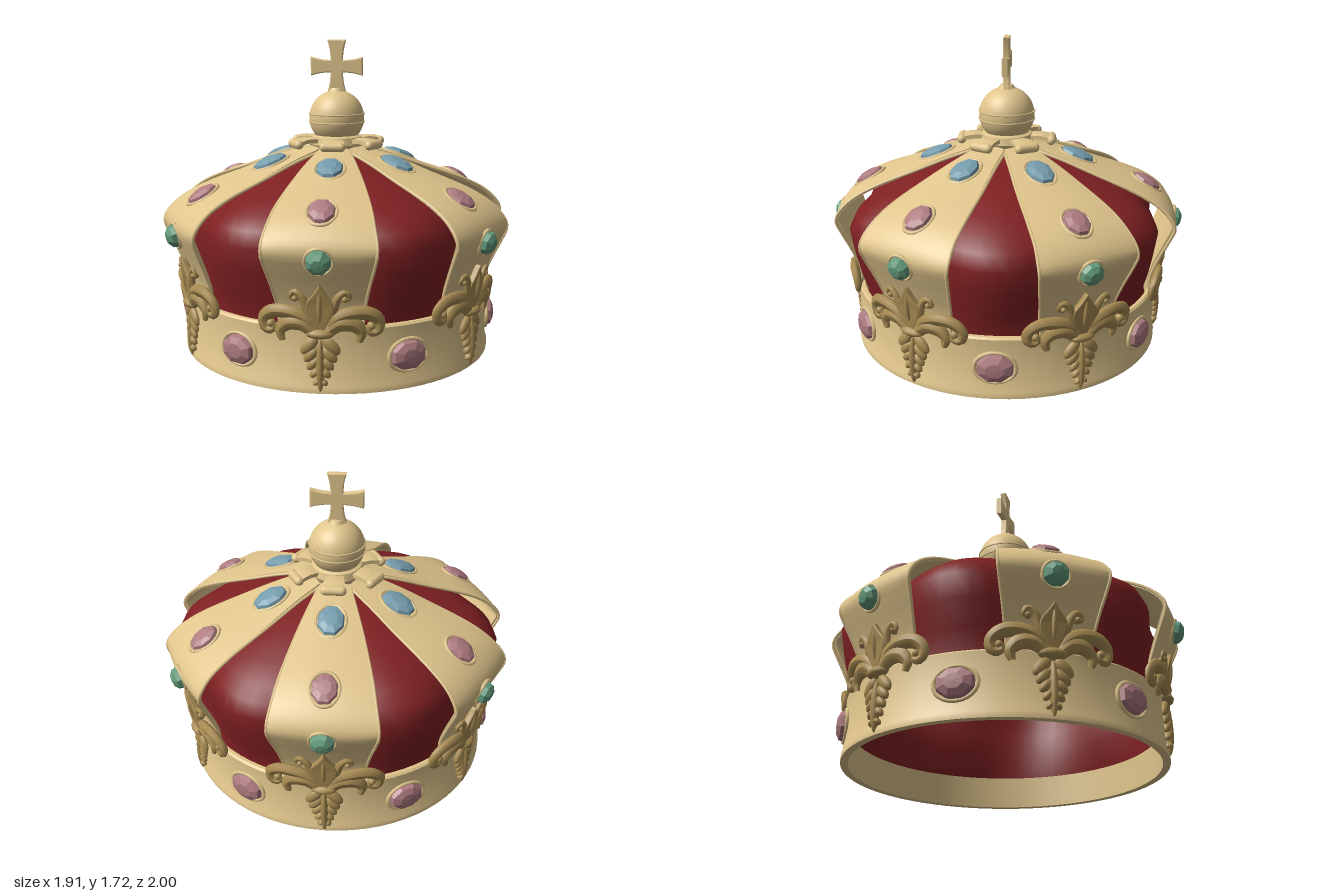
import * as THREE from 'three';
import { toCreasedNormals } from 'three/addons/utils/BufferGeometryUtils.js';

const V2 = (x, y) => new THREE.Vector2(x, y);
const V3 = (x, y, z) => new THREE.Vector3(x, y, z);

function material(name, color, double) {
  const m = new THREE.MeshStandardMaterial({ color });
  m.name = name;
  if (double) m.side = THREE.DoubleSide;
  return m;
}

function add(parent, name, geometry, mat, x = 0, y = 0, z = 0) {
  const mesh = new THREE.Mesh(geometry, mat);
  mesh.name = name;
  mesh.position.set(x, y, z);
  parent.add(mesh);
  return mesh;
}

// Move every vertex by a rule, then refresh the normals
function warp(geometry, rule) {
  const p = geometry.attributes.position, v = V3(0, 0, 0);
  for (let i = 0; i < p.count; i++) {
    rule(v.fromBufferAttribute(p, i), i);
    p.setXYZ(i, v.x, v.y, v.z);
  }
  geometry.computeVertexNormals();
  return geometry;
}

const lathe = (pts, seg) =>
  toCreasedNormals(new THREE.LatheGeometry(pts.map(p => V2(...p)), seg), 0.6);

// Flattened tube in the xy plane, thin at the far end
function taperTube(pts, radius) {
  const curve = new THREE.CatmullRomCurve3(pts.map(p => V3(p[0], p[1], 0.01)));
  const seg = 28, sides = 8;
  return warp(new THREE.TubeGeometry(curve, seg, 1, sides), (v, i) => {
    const t = Math.floor(i / (sides + 1)) / seg, c = curve.getPointAt(t);
    v.sub(c).multiplyScalar(radius * (0.35 + 0.65 * Math.sin(Math.PI * (0.15 + 0.83 * t))));
    v.z *= 0.7;
    v.add(c);
  });
}

// Lay a flat ornament around the band, leaning out above it
function wrapOnBand(geometry) {
  return warp(geometry, v => {
    const r = 0.863 + v.z + 0.15 * Math.max(0, v.y - 0.36), a = v.x / 0.865;
    v.set(Math.sin(a) * r, v.y, Math.cos(a) * r);
  });
}

function ellipsoid(x, y, rx, ry, rz, turn = 0) {
  return new THREE.SphereGeometry(1, 12, 8).scale(rx, ry, rz).rotateZ(turn).translate(x, y, 0.006);
}

export function createModel() {
  const gold = material('gold', 0xe0c58c);
  const oldGold = material('darkGold', 0xaa8d54);
  const velvet = material('redVelvet', 0x7f2022, true);
  const pink = material('pinkGem', 0xad7b80);
  const blue = material('blueGem', 0x759cad);
  const green = material('greenGem', 0x649b7c);

  const crown = new THREE.Group();
  crown.name = 'crown';

  // Band with a small foot
  add(crown, 'band', lathe([[0.83, 0], [0.87, 0], [0.87, 0.03], [0.86, 0.045], [0.86, 0.33],
    [0.85, 0.34], [0.83, 0.34], [0.83, 0]], 72), gold);

  // Velvet cap, puffed out between the arches
  const capPts = [[0.825, 0.18], [0.825, 0.34], [0.865, 0.46], [0.9, 0.6], [0.92, 0.72], [0.88, 0.8],
    [0.8, 0.86], [0.69, 0.915], [0.5, 0.98], [0.28, 1.025], [0, 1.035]].map(p => V2(...p));
  const cap = warp(new THREE.LatheGeometry(capPts, 72), v => {
    const amount = 0.05 * THREE.MathUtils.smoothstep(v.y, 0.18, 0.34)
      + 0.06 * THREE.MathUtils.smoothstep(v.y, 0.34, 0.6);
    const k = 1 - amount * (1 + Math.cos(6 * Math.atan2(v.x, v.z))) / 2;
    v.x *= k;
    v.z *= k;
  });
  add(crown, 'velvetCap', cap, velvet);

  // Arch plate: each point is half width, height, radius
  const rail = new THREE.CatmullRomCurve3([
    [0.205, 0.33, 0.83], [0.215, 0.43, 0.835], [0.24, 0.56, 0.88], [0.265, 0.66, 0.922], [0.28, 0.735, 0.947],
    [0.278, 0.785, 0.927], [0.262, 0.85, 0.865], [0.24, 0.915, 0.755], [0.18, 1.01, 0.5],
    [0.13, 1.073, 0.32], [0.08, 1.122, 0.14],
  ].map(p => V3(...p)));
  const archGeo = warp(new THREE.BoxGeometry(2, 1, 0.018, 8, 44, 1), v => {
    const t = v.y + 0.5, p = rail.getPointAt(t), d = rail.getTangentAt(t);
    const n = Math.hypot(d.y, d.z), sag = 0.02 * v.x * v.x * p.x / 0.28;
    const lift = v.z - sag;
    v.set(v.x * p.x, p.y - lift * d.z / n, p.z + lift * d.y / n);
  });
  const edgeGeo = [-1, 1].map(s => {
    const pts = [];
    for (let i = 0; i <= 36; i++) {
      const p = rail.getPointAt(i / 36);
      pts.push(V3(s * p.x, p.y - 0.009, p.z - 0.014));
    }
    return new THREE.TubeGeometry(new THREE.CatmullRomCurve3(pts), 56, 0.009, 6);
  });

  // Coarsely faceted stone with a flat table, in a thin setting, facing +z
  const stoneGeo = new THREE.LatheGeometry(
    [V2(1, 0), V2(0.9, 0.6), V2(0.5, 0.95), V2(0, 1)], 8).rotateX(Math.PI / 2).rotateZ(Math.PI / 8).toNonIndexed();
  const settingGeo = new THREE.TorusGeometry(1.06, 0.12, 6, 24);
  function gem(parent, name, mat, y, r, tilt, w, h, depth) {
    const g = new THREE.Group();
    g.name = name;
    g.position.set(0, y, r);
    g.rotation.x = -tilt;
    const stone = stoneGeo.clone().scale(w, h, depth);
    stone.computeVertexNormals();
    add(g, 'stone', stone, mat);
    add(g, 'setting', settingGeo, gold).scale.set(w, h, 0.09);
    parent.add(g);
  }

  // Lily ornament pieces, wrapped on the band
  const lily = [];
  const petal = new THREE.Shape();
  petal.moveTo(0, 0.3);
  petal.bezierCurveTo(0.03, 0.38, 0.085, 0.42, 0.055, 0.48);
  petal.quadraticCurveTo(0.02, 0.52, 0, 0.56);
  petal.quadraticCurveTo(-0.02, 0.52, -0.055, 0.48);
  petal.bezierCurveTo(-0.085, 0.42, -0.03, 0.38, 0, 0.3);
  lily.push(new THREE.ExtrudeGeometry(petal, { depth: 0.02, bevelSize: 0.006, bevelThickness: 0.008,
    bevelSegments: 2, curveSegments: 10 }));
  lily.push(ellipsoid(0, 0.45, 0.016, 0.1, 0.035));
  lily.push(ellipsoid(0, 0.315, 0.075, 0.028, 0.045));
  lily.push(ellipsoid(0, 0.145, 0.022, 0.135, 0.03));
  for (const s of [-1, 1]) {
    const tube = (pts, r) => lily.push(taperTube(pts.map(p => [s * p[0], p[1]]), r));
    tube([[0.02, 0.31], [0.07, 0.385], [0.15, 0.42], [0.24, 0.415], [0.29, 0.37], [0.28, 0.32],
      [0.24, 0.32], [0.24, 0.355]], 0.038);
    tube([[0.02, 0.31], [0.09, 0.365], [0.165, 0.36], [0.2, 0.32], [0.19, 0.27]], 0.042);
    tube([[0.03, 0.34], [0.06, 0.42], [0.085, 0.5], [0.12, 0.53], [0.14, 0.5], [0.115, 0.485]], 0.022);
    lily.push(ellipsoid(s * 0.25, 0.35, 0.022, 0.022, 0.026));
    lily.push(ellipsoid(s * 0.118, 0.495, 0.016, 0.016, 0.024));
    // Hanging leaf lobes
    for (let i = 0; i < 5; i++) {
      const k = 1 - i * 0.16;
      lily.push(ellipsoid(s * 0.055 * k, 0.25 - i * 0.047, 0.026 * k + 0.005, 0.058 * k, 0.022, s * 0.75));
    }
  }
  lily.forEach(wrapOnBand);

  // Six repeated sectors
  for (let k = 0; k < 6; k++) {
    const sector = new THREE.Group();
    sector.name = 'archSector';
    sector.rotation.y = k * Math.PI / 3;
    crown.add(sector);
    add(sector, 'arch', archGeo, gold);
    edgeGeo.forEach(g => add(sector, 'archEdge', g, gold));
    gem(sector, 'lowerGem', green, 0.695, 0.942, -0.2, 0.066, 0.064, 0.055);
    gem(sector, 'middleGem', pink, 0.902, 0.79, 1.05, 0.072, 0.088, 0.035);
    gem(sector, 'upperGem', blue, 1.05, 0.4, 1.22, 0.076, 0.102, 0.035);
    const ornament = new THREE.Group();
    ornament.name = 'lilyOrnament';
    lily.forEach(g => add(ornament, 'lilyPiece', g, oldGold));
    sector.add(ornament);

    // Curled leaf under the orb
    const leaf = warp(new THREE.BoxGeometry(0.12, 0.022, 0.16, 4, 1, 6), v => {
      v.x *= 0.9 + 2.5 * v.z;
      v.y += 0.02 - 2.5 * v.z * v.z - 2 * v.x * v.x;
    });
    add(sector, 'collarLeaf', leaf, gold, 0, 1.15, 0.18);
    add(sector, 'collarCurl', new THREE.CapsuleGeometry(0.026, 0.09, 6, 12).rotateZ(Math.PI / 2),
      gold, 0, 1.148, 0.25);

    const between = new THREE.Group();
    between.name = 'bandGemSector';
    between.rotation.y = (k + 0.5) * Math.PI / 3;
    crown.add(between);
    gem(between, 'bandGem', pink, 0.175, 0.86, 0, 0.102, 0.08, 0.045);
  }

  // Collar and orb
  add(crown, 'collar', lathe([[0, 1.09], [0.13, 1.1], [0.15, 1.14], [0.14, 1.18], [0.1, 1.2]], 32), gold);
  add(crown, 'orb', new THREE.SphereGeometry(0.155, 36, 24), gold, 0, 1.285, 0);
  for (const y of [1.262, 1.308])
    add(crown, 'orbRing', new THREE.TorusGeometry(0.154, 0.005, 6, 40).rotateX(Math.PI / 2), gold, 0, y, 0);

  // Flared cross: one arm outline turned four times
  const cross = new THREE.Shape();
  for (let q = 0; q < 4; q++) {
    const a = -q * Math.PI / 2, c = Math.cos(a), s = Math.sin(a);
    const at = (x, y) => [x * c - y * s, x * s + y * c];
    if (q === 0) cross.moveTo(...at(-0.028, 0.028));
    cross.quadraticCurveTo(...at(-0.028, 0.09), ...at(-0.045, 0.14));
    cross.lineTo(...at(0.045, 0.14));
    cross.quadraticCurveTo(...at(0.028, 0.09), ...at(0.028, 0.028));
  }
  const crossGeo = new THREE.ExtrudeGeometry(cross, { depth: 0.024, bevelSize: 0.006, bevelThickness: 0.006,
    bevelSegments: 2, curveSegments: 8 }).translate(0, 0, -0.012);
  add(crown, 'cross', crossGeo, gold, 0, 1.572, 0);
  add(crown, 'crossFoot', new THREE.CylinderGeometry(0.035, 0.05, 0.025, 16), gold, 0, 1.44, 0);

  return crown;
}
